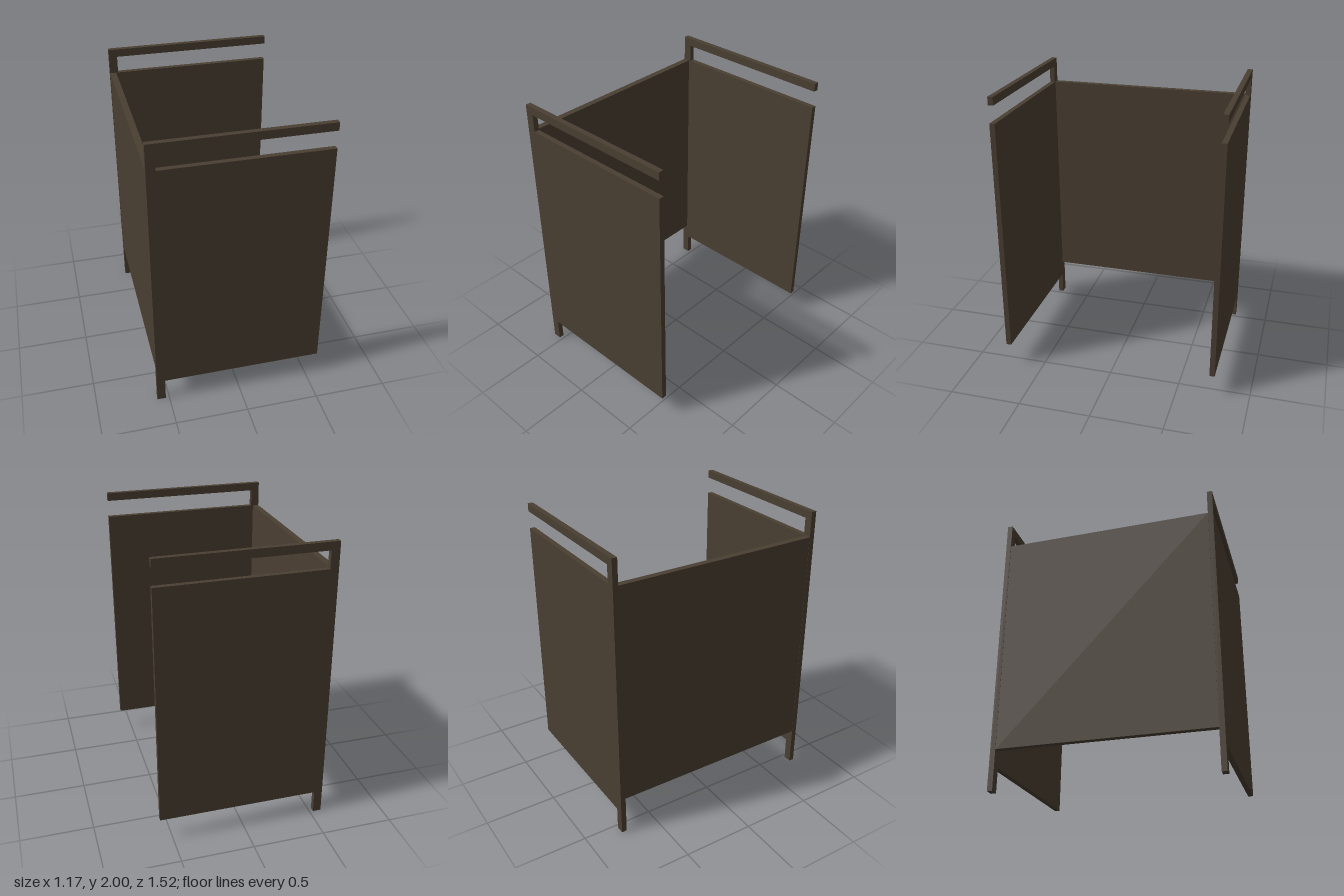
import * as THREE from 'three';

export function createModel() {
  const model = new THREE.Group();
  const darkWood = new THREE.MeshStandardMaterial({ color: 0x4a3f32 });
  darkWood.name = 'dark wood';

  // Side outline in x and y: post with a foot, a wide panel and a top rail
  const outline = new THREE.Shape([
    [-0.583, 0], [-0.525, 0], [-0.525, 0.165], [0.583, 0.165],
    [0.583, 1.825], [-0.525, 1.825], [-0.525, 1.945], [0.583, 1.945],
    [0.583, 2], [-0.583, 2],
  ].map(([x, y]) => new THREE.Vector2(x, y)));
  const thickness = 0.036;
  const sideGeometry = new THREE.ExtrudeGeometry(outline, { depth: thickness, bevelEnabled: false });
  sideGeometry.translate(0, 0, -thickness / 2);

  // Two matching sides
  for (const [name, z] of [['frontSide', 0.742], ['rearSide', -0.742]]) {
    const side = new THREE.Mesh(sideGeometry, darkWood);
    side.name = name;
    side.position.z = z;
    model.add(side);
  }

  // Panel joining the two posts
  const panel = new THREE.Mesh(new THREE.BoxGeometry(0.043, 1.55, 1.447), darkWood);
  panel.name = 'connectingPanel';
  panel.position.set(-0.5605, 1.05, 0);
  model.add(panel);

  return model;
}
